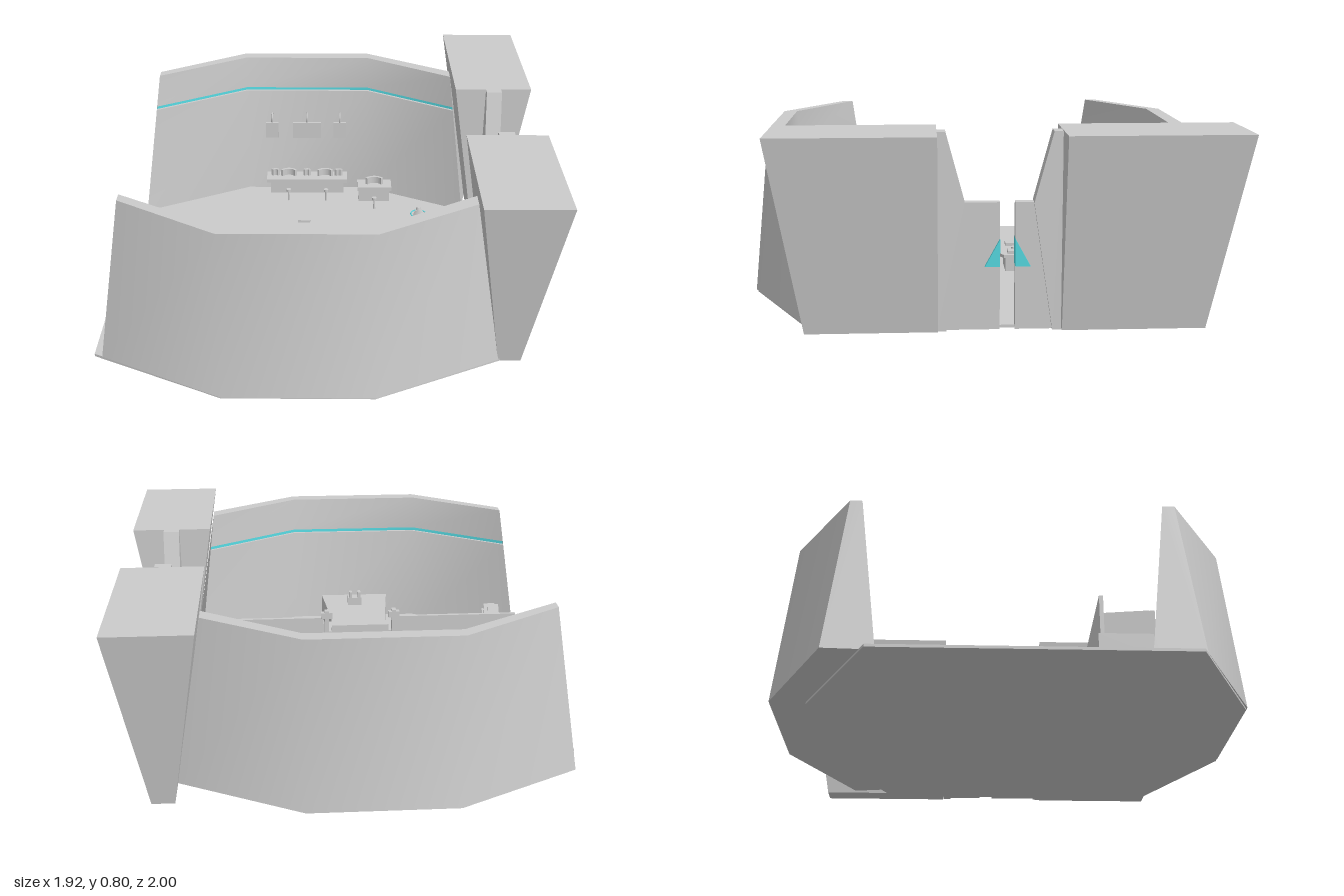
import * as THREE from 'three';

const grey = new THREE.MeshStandardMaterial({ color: 0xcccccc, side: THREE.DoubleSide });
const cyan = new THREE.MeshStandardMaterial({ color: 0x55d8e0, side: THREE.DoubleSide });
const V = (x, y, z) => new THREE.Vector3(x, y, z);

function add(parent, name, geo, x = 0, y = 0, z = 0, mat = grey) {
  const m = new THREE.Mesh(geo, mat);
  m.name = name;
  m.position.set(x, y, z);
  parent.add(m);
  return m;
}
// box given by its centre in x and z and its base height
const box = (p, name, w, h, d, x, y, z, mat) =>
  add(p, name, new THREE.BoxGeometry(w, h, d), x, y + h / 2, z, mat);

// plan outline [x, z] raised from y0 to y1
function slab(p, name, pts, y0, y1, mat) {
  const s = new THREE.Shape(pts.map(([x, z]) => new THREE.Vector2(x, -z)));
  const g = new THREE.ExtrudeGeometry(s, { depth: y1 - y0, bevelEnabled: false });
  return add(p, name, g.rotateX(-Math.PI / 2), 0, y0, 0, mat);
}
// side outline [z, y] spanning x0 to x1
function sidePrism(p, name, pts, x0, x1, mat) {
  const s = new THREE.Shape(pts.map(([z, y]) => new THREE.Vector2(-z, y)));
  const g = new THREE.ExtrudeGeometry(s, { depth: x1 - x0, bevelEnabled: false });
  return add(p, name, g.rotateY(Math.PI / 2), x0, 0, 0, mat);
}
// smooth surface between two rows of points
function strip(p, name, a, b, mat) {
  const pos = [...a, ...b].flatMap(v => [v.x, v.y, v.z]), idx = [], n = a.length;
  for (let i = 0; i < n - 1; i++) idx.push(i, i + 1, n + i + 1, i, n + i + 1, n + i);
  const g = new THREE.BufferGeometry();
  g.setAttribute('position', new THREE.Float32BufferAttribute(pos, 3));
  g.setIndex(idx);
  g.computeVertexNormals();
  return add(p, name, g, 0, 0, 0, mat);
}

// leaning wall with a recessed light strip; side is +1 front, -1 back
function buildWall(side) {
  const wall = new THREE.Group();
  wall.name = side > 0 ? 'frontWall' : 'backWall';
  const row = (y, pts) => pts.map(([x, z]) => V(x, y, z * side + 0.0075));
  const outerLow = row(0.01, [[-0.93, 0.725], [-0.41, 0.99], [0.21, 0.99], [0.73, 0.73]]);
  const outerTop = row(0.725, [[-0.82, 0.66], [-0.41, 0.915], [0.21, 0.915], [0.61, 0.68]]);
  const innerTop = row(0.725, [[-0.82, 0.61], [-0.41, 0.855], [0.21, 0.855], [0.61, 0.61]]);
  const innerLow = row(0.01, [[-0.92, 0.52], [-0.41, 0.785], [0.21, 0.785], [0.7, 0.54]]);
  const mix = (t, push) => innerTop.map((v, i) => {
    const r = v.clone().lerp(innerLow[i], t);
    r.z += push * side;
    return r;
  });
  const rings = [outerLow, outerTop, innerTop, mix(0.22, 0), mix(0.22, 0.014),
    mix(0.245, 0.014), mix(0.245, 0), innerLow];
  const names = ['outerFace', 'topEdge', 'upperPanel', 'upperLip', 'lightStrip', 'lowerLip', 'lowerPanel', 'base'];
  rings.forEach((r, k) => {
    const next = rings[(k + 1) % rings.length];
    const [a, b] = side > 0 ? [r, next] : [next, r];
    strip(wall, names[k], a, b, k === 4 ? cyan : grey);
  });
  for (const e of [0, 3])
    strip(wall, 'wallEnd', [outerLow[e], innerLow[e]], [outerTop[e], innerTop[e]]);
  return wall;
}

// tapered gate tower; zi is the upright inner side, zt and zb the outer side at top and bottom
function buildTower(name, zi, zt, zb) {
  const rect = (x0, x1, y, z) => [V(x0, y, zi), V(x1, y, zi), V(x1, y, z), V(x0, y, z)];
  const low = rect(0.73, 0.825, 0, zb), top = rect(0.605, 0.955, 0.795, zt);
  const g = new THREE.Group();
  g.name = name;
  const flip = zt < zi;
  for (let i = 0; i < 4; i++) {
    const j = (i + 1) % 4, s = flip ? [i, j] : [j, i];
    strip(g, 'towerSide', s.map(k => low[k]), s.map(k => top[k]));
  }
  strip(g, 'towerTop', [top[0], top[1]], [top[3], top[2]]);
  strip(g, 'towerBase', [low[3], low[2]], [low[0], low[1]]);
  return g;
}

export function createModel() {
  const model = new THREE.Group();
  model.name = 'commandRoom';

  // floor plate
  slab(model, 'floor', [[-0.965, -0.55], [-0.41, -0.83], [0.21, -0.83], [0.78, -0.54],
    [0.78, 0.71], [0.21, 0.99], [-0.41, 0.99], [-0.965, 0.715]], 0, 0.012);
  model.add(buildWall(1), buildWall(-1));

  // gate: towers, wedge frames, sliding doors, split emblem-free triangle lights
  model.add(buildTower('frontTower', 0.205, 0.855, 0.73), buildTower('backTower', -0.285, -1, -0.86));
  const gate = new THREE.Group();
  gate.name = 'gate';
  model.add(gate);
  for (const s of [1, -1]) {
    const z = d => -0.0375 + s * d;
    sidePrism(gate, 'gateFrame', [[z(0.245), 0], [z(0.21), 0], [z(0.135), 0.515],
      [z(0.21), 0.795], [z(0.245), 0.795]], 0.745, 0.815);
    const edge = s > 0 ? -0.04 : -0.1;
    const far = z(0.215);
    box(gate, 'gateDoor', 0.036, 0.515, Math.abs(far - edge), 0.78, 0, (far + edge) / 2);
    sidePrism(gate, 'gateLight', [[edge, 0.26], [edge + s * 0.06, 0.26], [edge, 0.37]], 0.746, 0.814, cyan);
  }

  // raised deck along the front wall with parapets
  const deck = new THREE.Group();
  deck.name = 'frontDeck';
  model.add(deck);
  slab(deck, 'deckFloor', [[-0.905, 0.325], [0.72, 0.325], [0.7, 0.55], [0.21, 0.79],
    [-0.41, 0.79], [-0.905, 0.535]], 0.012, 0.1);
  box(deck, 'parapet', 0.61, 0.18, 0.016, -0.565, 0.1, 0.345);
  box(deck, 'parapet', 0.62, 0.18, 0.016, 0.39, 0.1, 0.345);
  box(deck, 'daisRail', 0.28, 0.14, 0.014, -0.1, 0.1, 0.34);
  slab(deck, 'dais', [[-0.23, 0.35], [0.04, 0.35], [0.035, 0.475], [0.07, 0.785],
    [-0.27, 0.785], [-0.235, 0.475]], 0.1, 0.22);
  for (const s of [1, -1]) {
    for (let i = 0; i < 4; i++)
      box(deck, 'step', 0.024, 0.1 - i * 0.025, 0.12, -0.1 + s * (0.145 + i * 0.023), 0.1, 0.415);
    box(deck, 'gatePost', 0.02, 0.22, 0.03, -0.1 + s * 0.165, 0.1, 0.337);
    box(deck, 'postCap', 0.055, 0.03, 0.025, -0.1 + s * 0.165, 0.28, 0.337);
  }
  // small seat on the dais
  box(deck, 'seat', 0.07, 0.04, 0.04, -0.095, 0.22, 0.66);
  for (const s of [1, -1]) box(deck, 'seatArm', 0.014, 0.03, 0.03, -0.095 + s * 0.022, 0.26, 0.655);
  // tilted cabinet on the deck
  const cabinet = new THREE.Group();
  cabinet.name = 'cabinet';
  cabinet.position.set(-0.775, 0.1, 0.46);
  cabinet.rotation.y = -0.15;
  box(cabinet, 'cabinetBody', 0.075, 0.14, 0.21, 0, 0, 0);
  box(cabinet, 'cabinetPanel', 0.035, 0.012, 0.17, 0, 0.14, 0);
  for (const s of [1, -1]) box(cabinet, 'cabinetSide', 0.014, 0.1, 0.09, s * 0.04, 0.02, s * 0.05);
  deck.add(cabinet);

  // central table with pads
  const table = new THREE.Group();
  table.name = 'centralTable';
  table.position.set(-0.105, 0, -0.175);
  model.add(table);
  slab(table, 'tableTop', [[-0.115, -0.06], [-0.07, -0.085], [0.07, -0.085], [0.115, -0.06],
    [0.115, 0.06], [0.07, 0.085], [-0.07, 0.085], [-0.115, 0.06]], 0.085, 0.1);
  box(table, 'tableBase', 0.15, 0.075, 0.1, 0, 0.012, 0);
  add(table, 'tableDial', new THREE.CylinderGeometry(0.018, 0.018, 0.012, 20), 0, 0.105, 0);
  for (const s of [1, -1]) {
    box(table, 'tablePad', 0.045, 0.015, 0.08, s * 0.078, 0.1, 0);
    box(table, 'tableHandle', 0.06, 0.012, 0.012, 0, 0.1, s * 0.077);
  }

  // desks along the back wall with curved screens and stools
  const arc = (p, x, y, z, r) => {
    const s = new THREE.Shape();
    s.absarc(0, 0, r, 0.6, Math.PI - 0.6, false);
    s.absarc(0, 0, r - 0.012, Math.PI - 0.6, 0.6, true);
    const g = new THREE.ExtrudeGeometry(s, { depth: 0.035, bevelEnabled: false, curveSegments: 10 });
    add(p, 'curvedScreen', g.rotateX(-Math.PI / 2), x, y, z + r * 0.8);
  };
  const desk = (name, x, z, w, screens, stools) => {
    const g = new THREE.Group();
    g.name = name;
    g.position.set(x, 0, z);
    box(g, 'deskTop', w, 0.02, 0.09, 0, 0.1, 0);
    box(g, 'deskBack', w * 0.92, 0.09, 0.03, 0, 0.012, -0.025);
    for (const [sx, r] of screens) arc(g, sx, 0.12, -0.01, r);
    for (const sx of stools) {
      add(g, 'stoolSeat', new THREE.CylinderGeometry(0.012, 0.012, 0.012, 14), sx, 0.07, 0.07);
      add(g, 'stoolLeg', new THREE.CylinderGeometry(0.004, 0.006, 0.055, 8), sx, 0.038, 0.07);
    }
    model.add(g);
  };
  desk('longDesk', -0.1, -0.705, 0.42, [[-0.165, 0.026], [-0.095, 0.05], [0, 0.024], [0.095, 0.05], [0.165, 0.026]], [-0.095, 0.1]);
  desk('shortDesk', 0.25, -0.617, 0.175, [[0, 0.055]], [0]);

  // wall screens hanging from hooked arms
  for (const [x, w] of [[-0.28, 0.065], [-0.1, 0.145], [0.07, 0.065]]) {
    const g = new THREE.Group();
    g.name = 'hangingScreen';
    box(g, 'screenPlate', w, 0.085, 0.014, x, 0.32, -0.752);
    const path = new THREE.CatmullRomCurve3([V(x, 0.39, -0.757), V(x, 0.43, -0.752), V(x, 0.445, -0.775), V(x, 0.42, -0.83)]);
    add(g, 'screenArm', new THREE.TubeGeometry(path, 12, 0.005, 6));
    model.add(g);
  }

  // projector with a glowing ring
  const projector = new THREE.Group();
  projector.name = 'projector';
  projector.position.set(0.475, 0.012, -0.485);
  add(projector, 'projectorRing', new THREE.TorusGeometry(0.039, 0.003, 6, 32).rotateX(Math.PI / 2), 0, 0.004, 0, cyan);
  add(projector, 'projectorBase', new THREE.CylinderGeometry(0.022, 0.036, 0.03, 3).rotateY(Math.PI), 0, 0.015, 0);
  add(projector, 'projectorLens', new THREE.CylinderGeometry(0.01, 0.014, 0.014, 12), 0, 0.037, 0);
  model.add(projector);

  return model;
}
